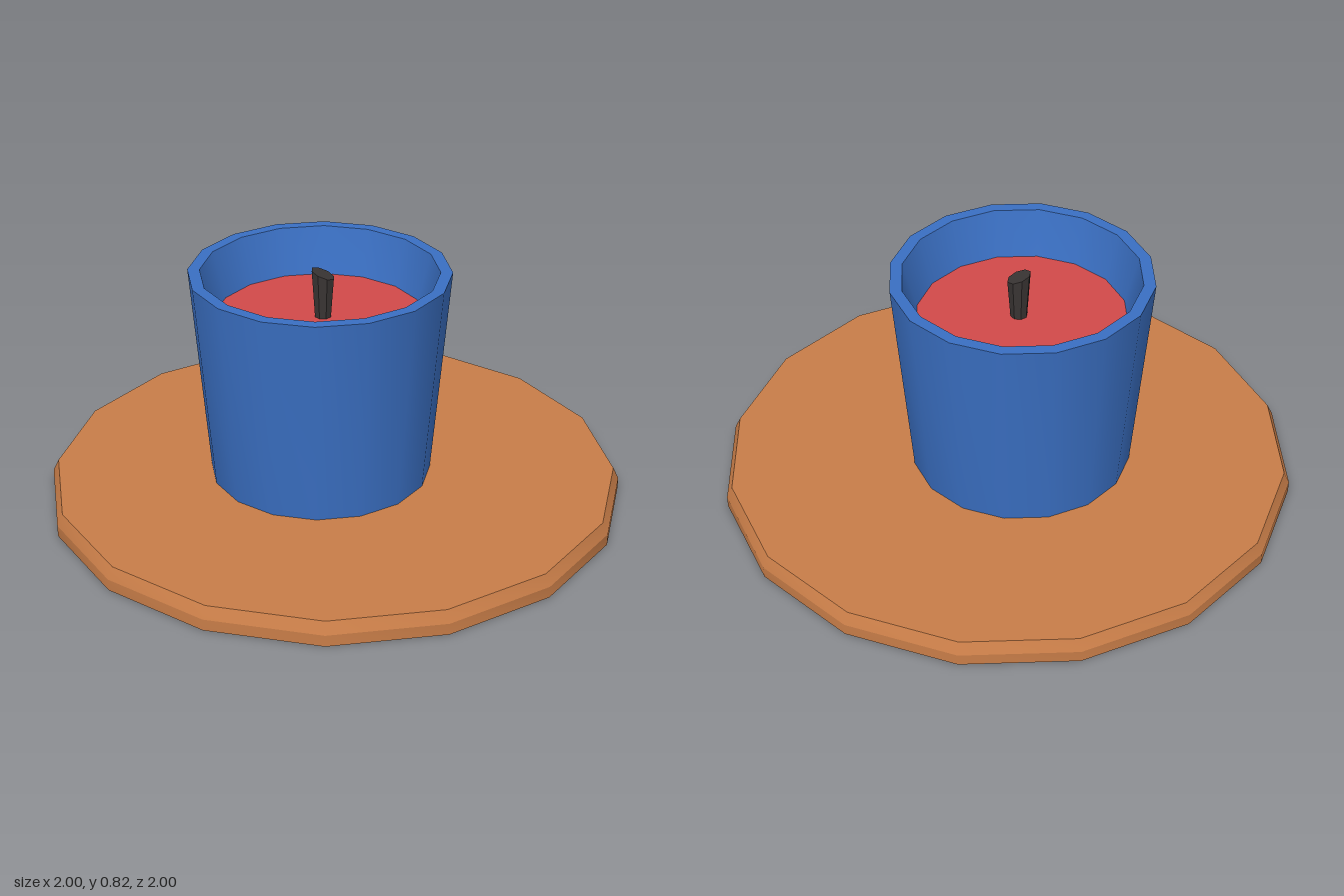
import * as THREE from 'three';
import { toCreasedNormals } from 'three/addons/utils/BufferGeometryUtils.js';

const SIDES = 16;

// Turned part from [radius, y] pairs, smooth around and sharp at profile corners
function turned(name, profile, color) {
  const points = profile.map(([r, y]) => new THREE.Vector2(r, y));
  const geometry = toCreasedNormals(new THREE.LatheGeometry(points, SIDES), 0.42);
  const mesh = new THREE.Mesh(geometry, new THREE.MeshStandardMaterial({ color }));
  mesh.name = name;
  return mesh;
}

export function createModel() {
  const model = new THREE.Group();
  model.name = 'candleOnPlate';

  // Round plate with a bevelled upper rim
  model.add(turned('plate', [[0, 0], [1, 0], [1, 0.04], [0.98, 0.08], [0, 0.08]], 0xc87d48));

  const candle = new THREE.Group();
  candle.name = 'candle';
  candle.position.x = -0.05;
  model.add(candle);

  // Tapered cup, hollow at the top
  candle.add(turned('cup', [
    [0, 0.08], [0.385, 0.08], [0.446, 0.82], [0.405, 0.82], [0.36, 0.655], [0.34, 0.6], [0, 0.6],
  ], 0x3a6fc2));

  // Wax surface
  candle.add(turned('wax', [[0.34, 0.6], [0.36, 0.655], [0, 0.655]], 0xd14a4a));

  // Wick, wider at the top and cut at a slant
  const wickGeometry = new THREE.CylinderGeometry(0.04, 0.028, 0.17, 8);
  wickGeometry.rotateY(Math.PI / 8);
  const pos = wickGeometry.attributes.position;
  for (let i = 0; i < pos.count; i++) {
    if (pos.getY(i) > 0) pos.setY(i, pos.getY(i) - 0.4 * pos.getX(i));
  }
  const wick = new THREE.Mesh(
    toCreasedNormals(wickGeometry, 0.5),
    new THREE.MeshStandardMaterial({ color: 0x3a3534 }),
  );
  wick.name = 'wick';
  wick.position.set(0.01, 0.725, 0);
  candle.add(wick);

  return model;
}
